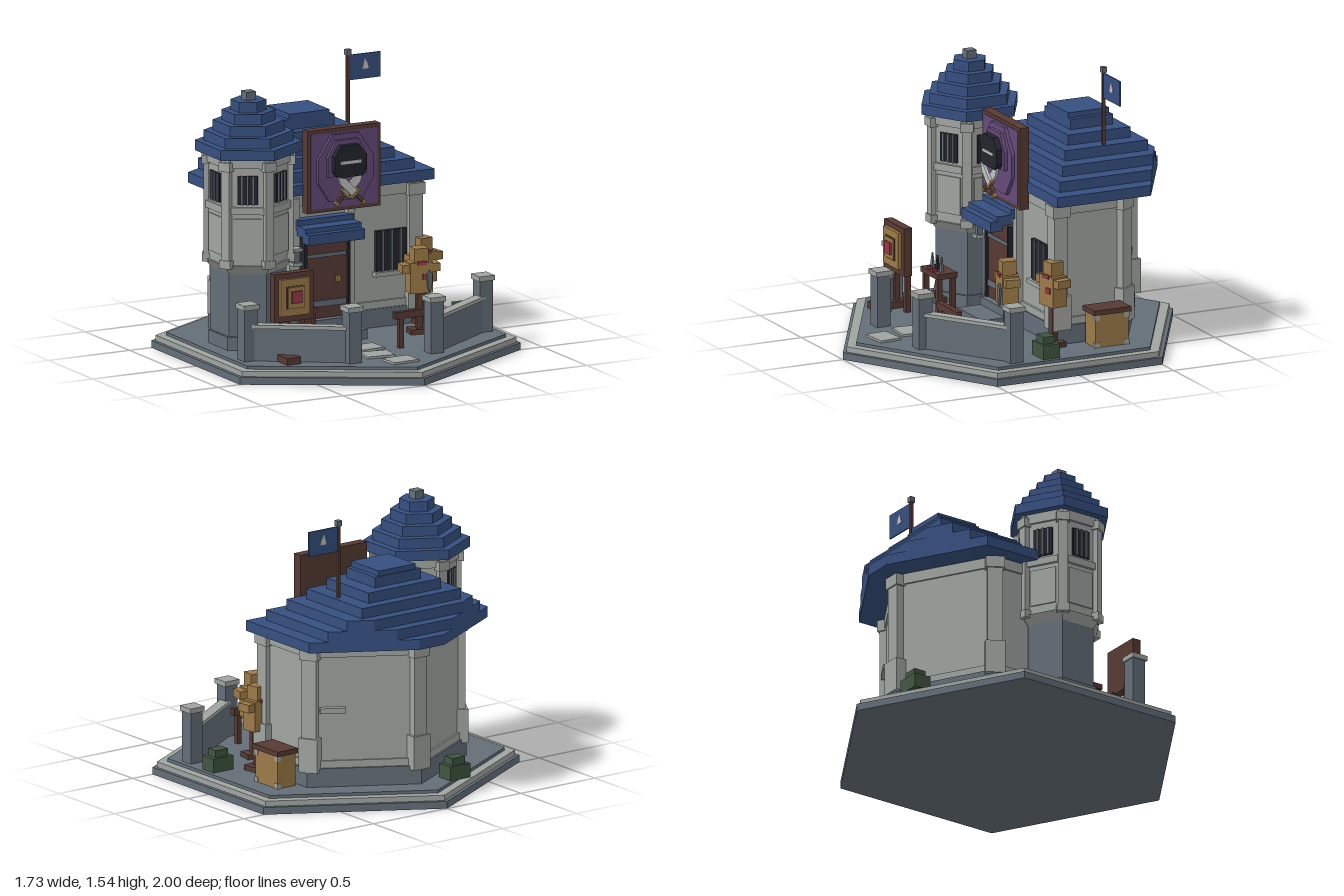
import * as THREE from 'three';

const mat = (name, color) => { const m = new THREE.MeshStandardMaterial({ color }); m.name = name; return m; };

export function createModel() {
  const stone = mat('light stone', 0xa0a5a1), slate = mat('slate stone', 0x646e78), blue = mat('blue tile', 0x364f80);
  const wood = mat('dark wood', 0x573a33), straw = mat('straw', 0x9c7a47), purple = mat('purple cloth', 0x644a78);
  const black = mat('black iron', 0x23252d), red = mat('red paint', 0x983848), green = mat('leaf green', 0x405540);
  const steel = mat('pale steel', 0xc0c4c2);
  const root = new THREE.Group();
  root.name = 'guardHouse';

  const add = (parent, name, geo, m, x = 0, y = 0, z = 0, ry = 0) => {
    const mesh = new THREE.Mesh(geo, m);
    mesh.name = name;
    mesh.position.set(x, y, z);
    mesh.rotation.y = ry;
    parent.add(mesh);
    return mesh;
  };
  const group = (name, x = 0, y = 0, z = 0, ry = 0, parent = root) => {
    const g = new THREE.Group();
    g.name = name;
    g.position.set(x, y, z);
    g.rotation.y = ry;
    parent.add(g);
    return g;
  };
  // box given by its extents
  const box = (p, name, m, x0, x1, y0, y1, z0, z1) =>
    add(p, name, new THREE.BoxGeometry(x1 - x0, y1 - y0, z1 - z0), m, (x0 + x1) / 2, (y0 + y1) / 2, (z0 + z1) / 2);
  // six-sided prism with a corner toward +z
  const hex = (p, name, m, r0, r1, y0, y1) => {
    const g = new THREE.CylinderGeometry(r1, r0, y1 - y0, 6).toNonIndexed();
    g.computeVertexNormals();
    return add(p, name, g, m, 0, (y0 + y1) / 2, 0);
  };
  const shape = pts => new THREE.Shape(pts.map(p => new THREE.Vector2(p[0], p[1])));
  // flat plate in the xy plane, from z0 to z1
  const plate = (p, name, m, pts, z0, z1) =>
    add(p, name, new THREE.ExtrudeGeometry(shape(pts), { depth: z1 - z0, bevelEnabled: false }), m, 0, 0, z0);
  // upright prism with a straight front and a back trimmed by two 30 degree lines
  const house = (p, name, m, w, zf, zb, c, y0, y1) => {
    const t = Math.tan(Math.PI / 6), side = Math.max(zb, -c + w * t);
    const x0 = Math.min(w, Math.max(0, (zb + c) / t));
    const half = [[w, -zf], [w, -side]];
    if (x0 < w && x0 > 0.001) half.push([x0, -zb]);
    const left = half.map(([x, y]) => [-x, y]).reverse();
    const pts = x0 > 0.001 ? [...half, ...left] : [...half, [0, c], ...left];
    const g = new THREE.ExtrudeGeometry(shape(pts), { depth: y1 - y0, bevelEnabled: false });
    g.rotateX(-Math.PI / 2);
    return add(p, name, g, m, 0, y0, 0);
  };

  // stepped base
  hex(root, 'baseFoot', slate, 1, 1, 0, 0.04);
  hex(root, 'baseRim', stone, 0.977, 0.977, 0.04, 0.07);
  hex(root, 'ground', slate, 0.92, 0.92, 0.07, 0.087);

  // main hall
  const hall = group('hall');
  house(hall, 'foundation', slate, 0.54, -0.015, -0.77, 0.77, 0.08, 0.19);
  house(hall, 'walls', stone, 0.515, -0.035, -0.75, 0.745, 0.19, 0.9);
  house(hall, 'lowerBand', stone, 0.527, -0.022, -0.76, 0.757, 0.19, 0.23);
  house(hall, 'upperBand', stone, 0.527, -0.022, -0.76, 0.757, 0.81, 0.87);
  const post = (x, z, ry) => {
    const g = group('cornerPost', x, 0, z, ry, hall);
    box(g, 'shaft', stone, -0.042, 0.042, 0.19, 0.87, -0.042, 0.042);
    box(g, 'foot', stone, -0.055, 0.055, 0.17, 0.36, -0.055, 0.055);
    box(g, 'cap', stone, -0.052, 0.052, 0.8, 0.865, -0.052, 0.052);
  };
  for (const s of [-1, 1]) {
    post(s * 0.5, -0.05, 0);
    post(s * 0.492, -0.435, s * Math.PI / 6);
  }
  post(0, -0.722, 0);
  const ledge = group('wallLedge', 0.41, 0.515, -0.515, Math.PI - Math.PI / 6, hall);
  box(ledge, 'ledgeBrick', stone, -0.07, 0.07, -0.015, 0.015, -0.01, 0.025);

  // stepped hall roof
  for (let i = 0; i < 6; i++)
    house(hall, 'roofTier', blue, 0.605 - 0.09 * i, 0.005 - 0.061 * i, -0.862 + 0.061 * i, 0.911, 0.876 + 0.0583 * i, 0.9343 + 0.0583 * i);
  box(hall, 'roofCap', blue, -0.125, 0.125, 1.22, 1.255, -0.55, -0.3);

  // barred window
  const bars = (p, x0, x1, y0, y1, z, m) => {
    box(p, 'windowOpening', black, x0, x1, y0, y1, z - 0.02, z);
    for (let i = 0; i < 3; i++) {
      const x = x0 + (x1 - x0) * (i + 0.75) / 3.5;
      box(p, 'windowBar', m, x - 0.006, x + 0.006, y0, y1, z, z + 0.009);
    }
  };
  bars(hall, 0.255, 0.445, 0.395, 0.62, -0.012, slate);
  box(hall, 'windowSill', stone, 0.24, 0.46, 0.37, 0.395, -0.03, 0.01);

  // door with awning and step
  const door = group('door');
  box(door, 'doorLeaf', wood, -0.196, 0.057, 0.185, 0.64, -0.03, 0.02);
  for (const [x0, x1] of [[-0.212, -0.196], [0.057, 0.07]]) box(door, 'doorPost', black, x0, x1, 0.185, 0.64, -0.03, 0.035);
  box(door, 'doorStrap', slate, -0.19, 0.05, 0.525, 0.545, 0.02, 0.028);
  box(door, 'doorStrap', slate, -0.19, 0.05, 0.25, 0.285, 0.02, 0.028);
  box(door, 'doorHandle', straw, -0.012, 0.01, 0.38, 0.415, 0.02, 0.04);
  for (const [x0, x1] of [[-0.29, -0.225], [0.07, 0.11]]) box(door, 'doorJamb', stone, x0, x1, 0.19, 0.86, -0.04, 0.005);
  box(door, 'awningFront', blue, -0.25, 0.095, 0.63, 0.688, 0.08, 0.155);
  box(door, 'awningMiddle', blue, -0.25, 0.095, 0.66, 0.715, 0.02, 0.115);
  box(door, 'awningBack', blue, -0.25, 0.095, 0.69, 0.745, -0.03, 0.03);
  box(door, 'doorSill', slate, -0.215, 0.085, 0.085, 0.185, -0.03, 0.06);
  box(door, 'doorStep', slate, -0.215, 0.085, 0.085, 0.14, 0.05, 0.2);

  // hanging board with helmet and crossed blades
  const board = group('hangingBoard', 0.02, 1.01, 0);
  box(board, 'backing', wood, -0.225, 0.225, -0.23, 0.23, -0.005, 0.04);
  for (const s of [-1, 1]) {
    box(board, 'frameSide', wood, s * 0.215 - 0.01, s * 0.215 + 0.01, -0.23, 0.23, 0.03, 0.052);
    box(board, 'frameEdge', wood, -0.225, 0.225, s * 0.22 - 0.01, s * 0.22 + 0.01, 0.03, 0.052);
  }
  box(board, 'cloth', purple, -0.205, 0.205, -0.21, 0.21, 0.03, 0.055);
  plate(board, 'clothShield', purple, [[-0.17, -0.06], [-0.1, -0.17], [0.1, -0.17], [0.17, -0.06], [0.17, 0.07], [0.08, 0.2], [-0.08, 0.2], [-0.17, 0.07]], 0.055, 0.075);
  plate(board, 'clothCrest', purple, [[-0.12, -0.03], [0.12, -0.03], [0.12, 0.08], [0.07, 0.17], [-0.07, 0.17], [-0.12, 0.08]], 0.075, 0.095);
  plate(board, 'helmet', black, [[-0.075, -0.03], [0.075, -0.03], [0.098, 0], [0.098, 0.085], [0.055, 0.145], [-0.055, 0.145], [-0.098, 0.085], [-0.098, 0]], 0.095, 0.13);
  box(board, 'helmetSlit', steel, -0.062, 0.062, 0.044, 0.06, 0.13, 0.136);
  for (const s of [-1, 1]) {
    const sword = group('crossedSword', 0, -0.1, s > 0 ? 0.13 : 0.112, 0, board);
    sword.rotation.z = s * 0.8;
    plate(sword, 'blade', steel, [[-0.022, -0.03], [0.022, -0.03], [0.022, 0.07], [0, 0.11], [-0.022, 0.07]], -0.008, 0.008);
    box(sword, 'guard', straw, -0.035, 0.035, -0.042, -0.028, -0.01, 0.01);
    box(sword, 'grip', wood, -0.01, 0.01, -0.1, -0.04, -0.009, 0.009);
    box(sword, 'pommel', straw, -0.013, 0.013, -0.118, -0.1, -0.01, 0.01);
  }

  // flag
  const flag = group('flag', 0.305, 0, -0.425);
  box(flag, 'pole', wood, -0.009, 0.009, 1.0, 1.52, -0.009, 0.009);
  box(flag, 'poleCap', slate, -0.015, 0.015, 1.512, 1.543, -0.015, 0.015);
  box(flag, 'cloth', blue, 0.005, 0.2, 1.37, 1.51, -0.004, 0.004);
  plate(flag, 'flagMark', steel, [[0.085, 1.425], [0.125, 1.425], [0.12, 1.45], [0.1, 1.485], [0.092, 1.45]], -0.007, 0.007);

  // tower
  const tower = group('tower', -0.523, 0, -0.03);
  hex(tower, 'towerFoot', slate, 0.22, 0.22, 0.08, 0.16);
  hex(tower, 'towerBase', slate, 0.205, 0.205, 0.16, 0.53);
  hex(tower, 'towerCorbel', stone, 0.205, 0.245, 0.51, 0.56);
  hex(tower, 'towerBody', stone, 0.23, 0.23, 0.56, 1.16);
  hex(tower, 'towerCornice', stone, 0.245, 0.245, 1.1, 1.16);
  for (let i = 0; i < 6; i++) {
    const corner = group('towerPost', 0, 0, 0, i * Math.PI / 3, tower);
    box(corner, 'shaft', stone, -0.026, 0.026, 0.56, 1.15, 0.195, 0.243);
    box(corner, 'cap', stone, -0.036, 0.036, 1.085, 1.135, 0.19, 0.254);
    box(corner, 'foot', stone, -0.034, 0.034, 0.545, 0.59, 0.19, 0.25);
    const face = group('towerFace', 0, 0, 0, (i + 0.5) * Math.PI / 3, tower);
    box(face, 'lowerPanel', stone, -0.075, 0.075, 0.61, 0.82, 0.19, 0.207);
    box(face, 'sill', stone, -0.09, 0.09, 0.845, 0.885, 0.19, 0.215);
    bars(face, -0.055, 0.055, 0.9, 1.06, 0.209, slate);
  }
  for (let i = 0; i < 5; i++) hex(tower, 'towerRoofTier', blue, 0.291 - 0.0485 * i, 0.291 - 0.0485 * i, 1.155 + 0.057 * i, 1.212 + 0.057 * i);
  box(tower, 'finial', slate, -0.029, 0.029, 1.43, 1.486, -0.029, 0.029);

  // wall lantern
  const lantern = group('lantern', -0.27, 0.55, 0.04);
  for (const y of [-0.04, 0.04]) box(lantern, 'lanternPlate', stone, -0.028, 0.028, y - 0.009, y + 0.009, -0.028, 0.028);
  box(lantern, 'lanternCore', slate, -0.016, 0.016, -0.035, 0.035, -0.016, 0.016);
  box(lantern, 'lanternArm', slate, -0.008, 0.008, 0.03, 0.045, -0.08, 0);

  // front fences
  for (const s of [-1, 1]) {
    const a = [s * 0.725, 0.33], b = [s * 0.252, 0.645];
    for (const [x, z] of [a, b]) {
      const g = group('fencePost', x, 0, z);
      box(g, 'pillar', slate, -0.04, 0.04, 0.08, 0.375, -0.04, 0.04);
      box(g, 'pillarCap', stone, -0.048, 0.048, 0.372, 0.4, -0.048, 0.048);
    }
    const L = Math.hypot(b[0] - a[0], b[1] - a[1]) / 2;
    const g = group('fenceWall', (a[0] + b[0]) / 2, 0, (a[1] + b[1]) / 2, Math.atan2(a[1] - b[1], b[0] - a[0]));
    box(g, 'wall', slate, -L, L, 0.08, 0.272, -0.022, 0.022);
    box(g, 'coping', stone, -L, L, 0.268, 0.288, -0.03, 0.03);
  }

  // archery target
  const target = group('target', -0.5, 0, 0.42);
  box(target, 'board', wood, -0.12, 0.12, 0.3, 0.57, -0.03, 0.02);
  box(target, 'strawPad', straw, -0.09, 0.09, 0.335, 0.54, 0.02, 0.04);
  box(target, 'innerRing', wood, -0.055, 0.055, 0.375, 0.5, 0.04, 0.044);
  box(target, 'innerPad', straw, -0.05, 0.05, 0.38, 0.495, 0.044, 0.05);
  box(target, 'bullseye', red, -0.032, 0.032, 0.407, 0.473, 0.05, 0.062);
  for (const x of [-0.06, 0.07]) box(target, 'leg', wood, x - 0.015, x + 0.015, 0.085, 0.31, -0.04, -0.01);
  box(target, 'foot', wood, -0.1, -0.015, 0.085, 0.125, -0.06, 0.13);

  // work table with tools
  const table = group('workTable', -0.373, 0, 0.23);
  box(table, 'tableTop', wood, -0.103, 0.103, 0.29, 0.32, -0.06, 0.06);
  for (const x of [-0.08, 0.08]) for (const z of [-0.04, 0.04]) box(table, 'tableLeg', wood, x - 0.014, x + 0.014, 0.085, 0.295, z - 0.014, z + 0.014);
  box(table, 'tableRail', wood, -0.08, 0.08, 0.15, 0.18, -0.01, 0.01);
  for (const x of [-0.06, 0, 0.05]) {
    const bottle = add(table, 'bottle', new THREE.CylinderGeometry(0.005, 0.016, 0.08, 6), x ? slate : black, x, 0.36, 0.01);
    bottle.geometry = bottle.geometry.toNonIndexed();
    bottle.geometry.computeVertexNormals();
  }
  for (const x of [-0.03, 0.03]) box(table, 'redPot', red, x - 0.01, x + 0.01, 0.32, 0.335, 0.03, 0.05);

  // training dummies
  for (const [x, z, ry] of [[0.4, 0.205, -0.17], [0.535, -0.005, 0.14]]) {
    const d = group('trainingDummy', x, 0, z, ry);
    box(d, 'dummyBase', wood, -0.06, 0.06, 0.085, 0.115, -0.045, 0.045);
    box(d, 'dummyPole', wood, -0.018, 0.018, 0.1, 0.33, -0.018, 0.018);
    box(d, 'dummyBody', straw, -0.065, 0.065, 0.315, 0.485, -0.047, 0.047);
    box(d, 'dummyArms', straw, -0.108, 0.108, 0.43, 0.475, -0.042, 0.042);
    box(d, 'dummyHead', straw, -0.04, 0.04, 0.48, 0.562, -0.04, 0.04);
    box(d, 'dummyScarf', red, -0.025, 0.025, 0.472, 0.492, -0.05, 0.052);
    box(d, 'dummyPatch', red, 0.005, 0.04, 0.39, 0.422, 0.047, 0.054);
  }
  const spare = group('leaningSword', 0.43, 0.38, 0.27);
  plate(spare, 'blade', slate, [[-0.016, 0.04], [-0.012, -0.03], [0, -0.06], [0.012, -0.03], [0.016, 0.04], [0, 0.065]], -0.006, 0.006);

  // crate
  const crate = group('crate', 0.625, 0, -0.285);
  box(crate, 'crateBody', straw, -0.06, 0.06, 0.085, 0.272, -0.1, 0.1);
  box(crate, 'crateLid', wood, -0.07, 0.07, 0.27, 0.298, -0.112, 0.112);
  for (const z of [-0.09, 0.09]) for (const y of [0.1, 0.255]) box(crate, 'crateCorner', stone, 0.04, 0.064, y - 0.015, y + 0.015, z - 0.015, z + 0.015);

  // bushes
  for (const [x, z] of [[0.705, 0.125], [-0.225, -0.77]]) {
    const b = group('bush', x, 0, z);
    box(b, 'bushLower', green, -0.068, 0.068, 0.085, 0.165, -0.05, 0.05);
    box(b, 'bushUpper', green, -0.042, 0.042, 0.16, 0.205, -0.035, 0.035);
  }

  // hitching rail
  const rail = group('hitchingRail', 0.225, 0, 0.47);
  box(rail, 'beam', wood, -0.125, 0.125, 0.25, 0.288, -0.016, 0.016);
  for (const x of [-0.085, 0.085]) box(rail, 'railPost', wood, x - 0.014, x + 0.014, 0.085, 0.26, -0.014, 0.014);

  // path stones
  for (const [x, z, ry] of [[-0.035, 0.405, 0.08], [-0.06, 0.575, -0.1], [-0.01, 0.75, 0.08]])
    add(root, 'pathStone', new THREE.BoxGeometry(0.16, 0.015, 0.125), stone, x, 0.092, z, ry);

  return root;
}
